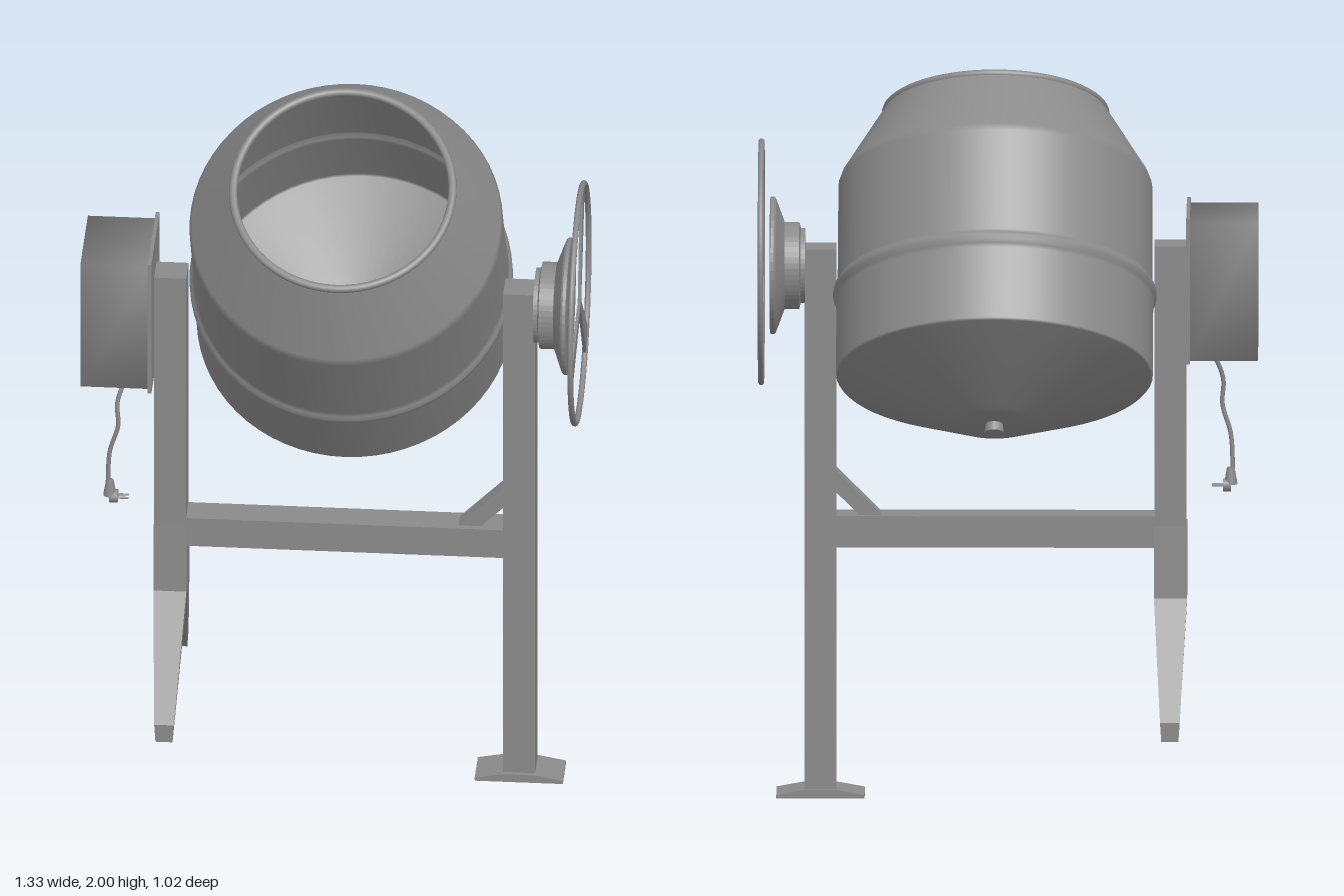
import * as THREE from 'three';
import { mergeVertices } from 'three/addons/utils/BufferGeometryUtils.js';

const grey = new THREE.MeshStandardMaterial({ color: 0x8a8a8a });
const thin = new THREE.MeshStandardMaterial({ color: 0x8a8a8a, side: THREE.DoubleSide });
const pts = (list) => list.map(([a, b]) => new THREE.Vector2(a, b));

function add(parent, name, geometry, material = grey) {
  const mesh = new THREE.Mesh(geometry, material);
  mesh.name = name;
  parent.add(mesh);
  return mesh;
}

// Box given by its limits on each axis
function box(parent, name, [x0, x1], [y0, y1], [z0, z1]) {
  const g = new THREE.BoxGeometry(x1 - x0, y1 - y0, z1 - z0);
  g.translate((x0 + x1) / 2, (y0 + y1) / 2, (z0 + z1) / 2);
  return add(parent, name, g);
}

const extrude = (list, depth) =>
  new THREE.ExtrudeGeometry(new THREE.Shape(pts(list)), { depth, bevelEnabled: false });

function createDrum() {
  const drum = new THREE.Group();
  drum.name = 'drum';
  // Shallow bottom cone, wall with a raised rib, then the cone narrowing to the mouth
  add(drum, 'drumShell', new THREE.LatheGeometry(pts([
    [0, -0.148], [0.09, -0.148], [0.116, -0.144], [0.416, -0.013], [0.421, -0.007], [0.421, 0.195],
    [0.424, 0.205], [0.43, 0.215], [0.43, 0.227], [0.424, 0.237], [0.418, 0.247],
    [0.417, 0.53], [0.41, 0.55], [0.295, 0.74],
  ]), 64), thin);
  const rim = add(drum, 'mouthRim', new THREE.TorusGeometry(0.292, 0.011, 10, 64));
  rim.rotation.x = Math.PI / 2;
  rim.position.y = 0.738;
  const bolt = add(drum, 'bottomBolt', new THREE.CylinderGeometry(0.022, 0.026, 0.03, 16));
  bolt.position.y = -0.158;
  drum.position.set(0.033, 1.2125, -0.1525);
  drum.rotation.x = 0.585;
  return drum;
}

function createFrame() {
  const frame = new THREE.Group();
  frame.name = 'frame';
  const z = [0.105, 0.19];
  box(frame, 'rightPost', [-0.475, -0.39], [0.74, 1.5], z);
  box(frame, 'leftPost', [0.455, 0.54], [0.015, 1.49], z);
  box(frame, 'crossbar', [-0.39, 0.455], [0.68, 0.765], z);

  // Diagonal brace
  const brace = extrude([[0.335, 0.765], [0.395, 0.765], [0.455, 0.825], [0.455, 0.885]], 0.05);
  brace.translate(0, 0, 0.1225);
  add(frame, 'brace', brace);

  // Foot plate with sloping ends
  const foot = extrude([
    [0.38, 0], [0.615, 0], [0.615, 0.009], [0.54, 0.023], [0.455, 0.023], [0.38, 0.009],
  ], 0.11);
  foot.translate(0, 0, 0.0925);
  add(frame, 'footPlate', foot);

  // Splayed pair of legs, narrowing in x toward the tips
  const c = 0.1475;
  const half = [[0.0425, 0.74], [0.053, 0.545], [0.255, 0.25], [0.255, 0.198]];
  const outline = [
    ...half.map(([d, y]) => [c + d, y]), [c, 0.53],
    ...half.map(([d, y]) => [c - d, y]).reverse(),
  ];
  const legs = extrude(outline, 0.088);
  legs.rotateY(-Math.PI / 2);
  legs.translate(-0.3885, 0, 0);
  const p = legs.attributes.position;
  for (let i = 0; i < p.count; i++) {
    const k = THREE.MathUtils.clamp((p.getY(i) - 0.198) / 0.332, 0, 1);
    p.setX(i, -0.4325 + (p.getX(i) + 0.4325) * (0.52 + 0.48 * k));
  }
  legs.computeVertexNormals();
  add(frame, 'splayedLegs', legs);
  return frame;
}

function createMotor() {
  const motor = new THREE.Group();
  motor.name = 'motor';
  // Softly shaded housing: corners share one normal
  let housing = new THREE.BoxGeometry(0.188, 0.375, 0.258);
  housing.deleteAttribute('normal');
  housing.deleteAttribute('uv');
  housing = mergeVertices(housing);
  housing.computeVertexNormals();
  housing.translate(-0.571, 1.395, 0.1475);
  add(motor, 'motorHousing', housing);
  box(motor, 'motorFlange', [-0.485, -0.475], [1.2, 1.595], [0.007, 0.288]);

  // Hanging cable with plug
  const path = new THREE.CatmullRomCurve3([
    [-0.52, 1.215, 0.17], [-0.55, 1.18, 0.185], [-0.572, 1.12, 0.2], [-0.57, 1.05, 0.205],
    [-0.592, 0.97, 0.203], [-0.598, 0.86, 0.2],
  ].map((v) => new THREE.Vector3(...v)));
  add(motor, 'cable', new THREE.TubeGeometry(path, 40, 0.006, 8));
  const plug = new THREE.Group();
  plug.name = 'plug';
  const body = add(plug, 'plugBody', new THREE.CylinderGeometry(0.01, 0.018, 0.045, 12));
  body.position.y = 0.012;
  const face = add(plug, 'plugFace', new THREE.CylinderGeometry(0.018, 0.018, 0.022, 12));
  face.rotation.z = Math.PI / 2;
  face.position.set(0.01, -0.014, 0);
  for (const s of [-1, 1]) {
    const pin = add(plug, 'plugPin', new THREE.CylinderGeometry(0.003, 0.003, 0.03, 8));
    pin.rotation.z = Math.PI / 2;
    pin.position.set(0.035, -0.014, s * 0.009);
  }
  plug.position.set(-0.592, 0.845, 0.2);
  motor.add(plug);
  return motor;
}

function createWheel() {
  const wheel = new THREE.Group();
  wheel.name = 'tiltWheel';
  add(wheel, 'wheelRing', new THREE.TorusGeometry(0.32, 0.008, 10, 64));
  // Three flat spokes, widening outward
  for (let i = 0; i < 3; i++) {
    const spoke = extrude([[0, -0.01], [0.315, -0.038], [0.315, 0.038], [0, 0.01]], 0.008);
    spoke.translate(0, 0, -0.004);
    add(wheel, 'spoke', spoke).rotation.z = THREE.MathUtils.degToRad(72 + 120 * i);
  }
  wheel.rotation.y = Math.PI / 2;
  wheel.position.set(0.655, 1.447, 0.1475);
  return wheel;
}

export function createModel() {
  const model = new THREE.Group();
  model.name = 'cementMixer';
  model.add(createDrum(), createFrame(), createMotor(), createWheel());

  // Stepped hub and dished locking disc between post and wheel
  const hub = new THREE.LatheGeometry(pts([
    [0, 0], [0.1, 0], [0.1, 0.012], [0.116, 0.016], [0.116, 0.055], [0.13, 0.06],
    [0.178, 0.078], [0.183, 0.083], [0.183, 0.092], [0.175, 0.094], [0, 0.094],
  ]), 48).toNonIndexed();
  hub.computeVertexNormals();
  const disc = add(model, 'hub', hub);
  disc.rotation.z = -Math.PI / 2;
  disc.position.set(0.538, 1.437, 0.1475);
  return model;
}
